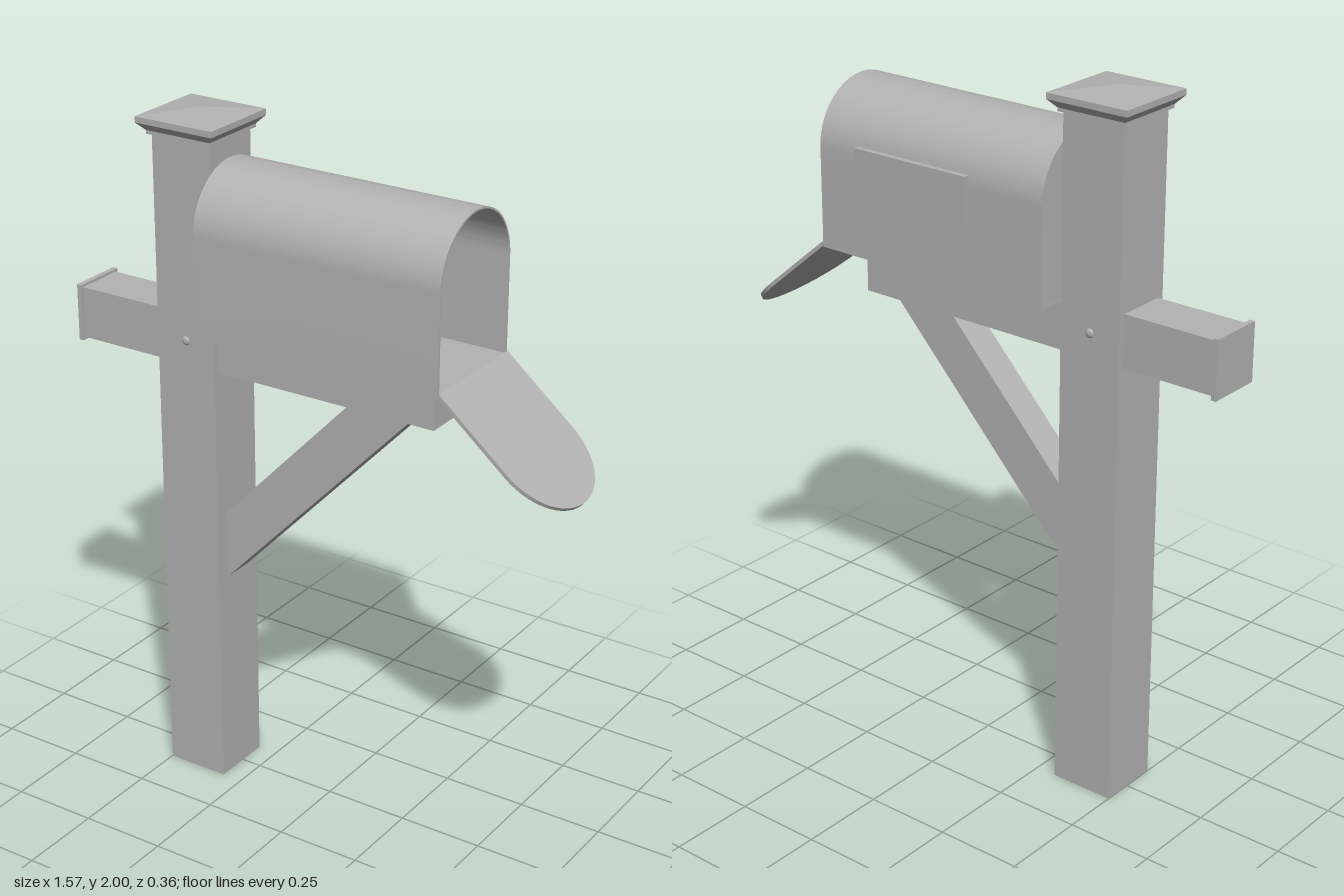
import * as THREE from 'three';
import { toCreasedNormals } from 'three/addons/utils/BufferGeometryUtils.js';

const Z = 0.007; // shared centre plane of all parts
const POST_X = -0.405;

export function createModel() {
  const model = new THREE.Group();
  model.name = 'mailbox';
  const grey = new THREE.MeshStandardMaterial({ color: 0xb3b3b3 });
  grey.name = 'plain grey';

  const add = (name, geometry) => {
    const mesh = new THREE.Mesh(geometry, grey);
    mesh.name = name;
    model.add(mesh);
    return mesh;
  };
  // Box given by its limits in x and y and its depth about the centre plane
  const block = (name, x0, x1, y0, y1, depth) =>
    add(name, new THREE.BoxGeometry(x1 - x0, y1 - y0, depth))
      .position.set((x0 + x1) / 2, (y0 + y1) / 2, Z);
  // Straight-sided outline with a half-round top
  const arch = (half, bottom, top, PathType = THREE.Shape) => {
    const p = new PathType();
    p.moveTo(-half, bottom);
    p.lineTo(half, bottom);
    p.lineTo(half, top - half);
    p.absarc(0, top - half, half, 0, Math.PI, false);
    p.lineTo(-half, bottom);
    return p;
  };
  const extrude = (shape, depth) =>
    new THREE.ExtrudeGeometry(shape, { depth, bevelEnabled: false, curveSegments: 32 });
  // Extrusion that runs along x
  const extrudeX = (shape, depth) =>
    toCreasedNormals(extrude(shape, depth).rotateY(Math.PI / 2), 0.5);

  // Post and its low pyramid cap
  block('post', POST_X - 0.094, POST_X + 0.094, 0, 1.945, 0.184);
  const capProfile = [[0, 1.935], [0.104, 1.935], [0.104, 1.945], [0.124, 1.967],
    [0.124, 1.984], [0, 2]].map(([r, y]) => new THREE.Vector2(r * Math.SQRT2, y));
  const cap = new THREE.LatheGeometry(capProfile, 4).rotateY(Math.PI / 4).toNonIndexed();
  cap.computeVertexNormals();
  add('postCap', cap).position.set(POST_X, 0, Z);

  // Cross arm with a thin end plate
  block('crossArm', -0.78, 0.375, 1.285, 1.435, 0.146);
  block('armEndPlate', -0.79, -0.775, 1.277, 1.443, 0.162);

  // Diagonal brace under the arm
  const brace = new THREE.Shape([[-0.312, 0.645], [0.295, 1.287], [0.103, 1.287], [-0.312, 0.848]]
    .map(([x, y]) => new THREE.Vector2(x, y)));
  add('brace', extrude(brace, 0.095)).position.z = Z - 0.0475;

  // Bolt heads on both faces of the post
  for (const side of [1, -1]) {
    const bolt = add(side > 0 ? 'frontBolt' : 'backBolt', new THREE.SphereGeometry(0.013, 16, 10));
    bolt.position.set(POST_X, 1.365, Z + side * 0.092);
    bolt.scale.z = 0.5;
  }

  // Hollow mailbox, open towards +x
  const shell = arch(0.173, 1.425, 1.88);
  shell.holes.push(arch(0.168, 1.435, 1.875, THREE.Path));
  add('mailboxShell', extrudeX(shell, 0.755)).position.set(-0.31, 0, Z);
  add('mailboxBack', extrudeX(arch(0.17, 1.428, 1.877), 0.006)).position.set(-0.309, 0, Z);

  // Door hanging open from the lower front edge
  const door = add('door', extrudeX(arch(0.173, 0, 0.437), 0.011));
  door.position.set(0.447, 1.441, Z);
  door.rotation.z = THREE.MathUtils.degToRad(-130);

  // Lowered signal flag on the back side
  const flag = new THREE.Shape([[-0.07, 1.61], [0.015, 1.61], [0.015, 1.7], [0.31, 1.7],
    [0.31, 1.737], [-0.07, 1.737]].map(([x, y]) => new THREE.Vector2(x, y)));
  add('flag', extrude(flag, 0.016)).position.z = -0.181;

  return model;
}
